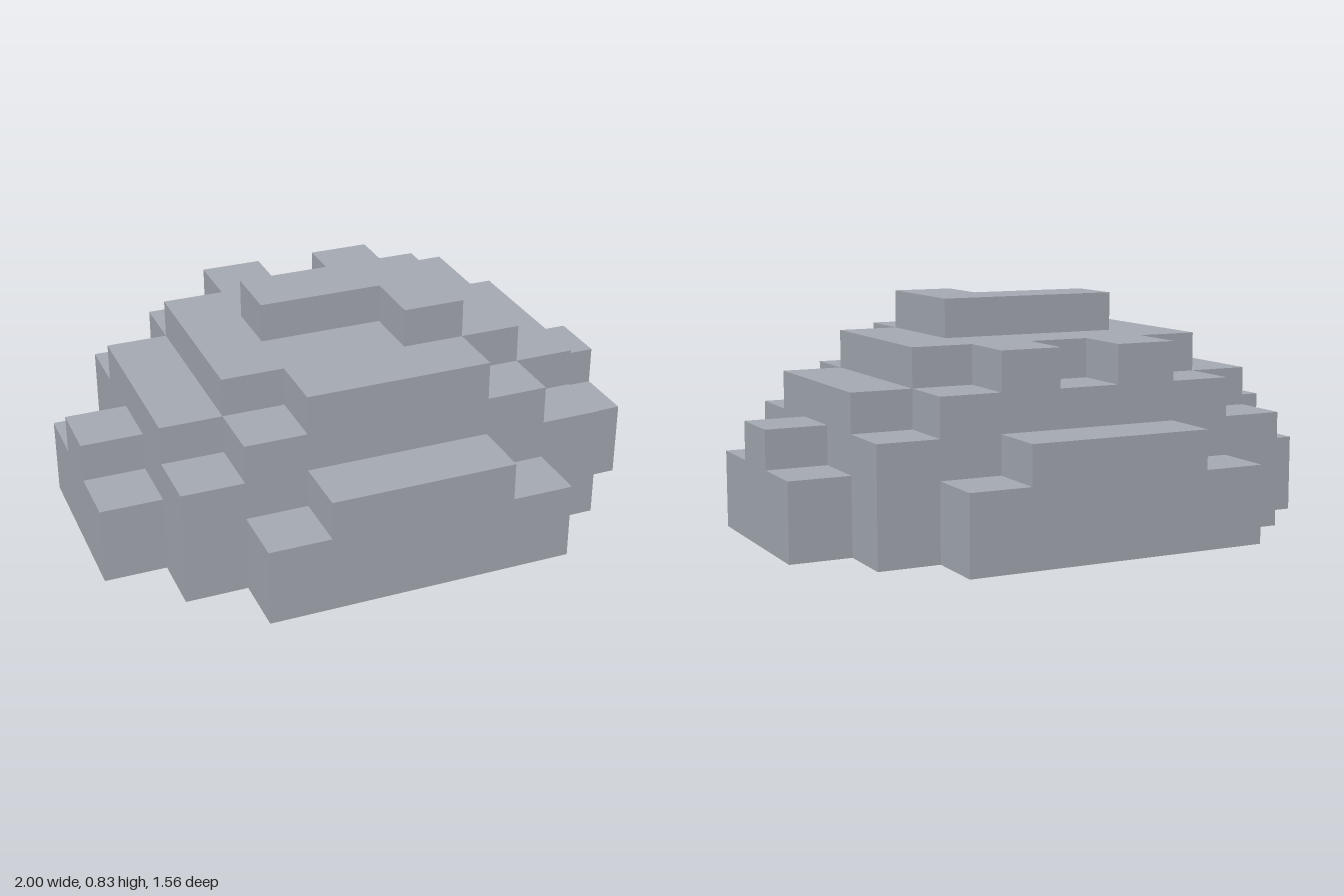
import * as THREE from 'three';

// Height of each square cell in steps; rows run back to front, columns from -x to +x
const HEIGHTS = [
  '002333200',
  '034545430',
  '245555542',
  '346666643'.replace('46666643', '45666543'),
  '245556542',
  '034555430',
  '002333200',
];
const CELL = 2 / 9;
const STEP = 0.139;
const TIER_NAMES = { 2: 'outerCornerTier', 3: 'outerTier', 4: 'lowerTier', 5: 'upperTier', 6: 'topRidge' };

const heightAt = (col, row) => Number(HEIGHTS[row]?.[col] ?? 0);

// Caps and walls of all cells of one height; walls drop to the ground wherever the neighbour is lower
function tierGeometry(level) {
  const positions = [];
  const quad = (a, b, c, d) => positions.push(...a, ...b, ...c, ...a, ...c, ...d);
  const y = level * STEP;
  HEIGHTS.forEach((line, row) => {
    for (let col = 0; col < line.length; col++) {
      if (heightAt(col, row) !== level) continue;
      const x0 = (col - 4.5) * CELL, x1 = x0 + CELL;
      const z0 = (row - 3.5) * CELL, z1 = z0 + CELL;
      quad([x0, y, z1], [x1, y, z1], [x1, y, z0], [x0, y, z0]);
      // Neighbour offset, then the wall's left and right ends seen from outside
      const sides = [
        [0, 1, x0, z1, x1, z1],
        [1, 0, x1, z1, x1, z0],
        [0, -1, x1, z0, x0, z0],
        [-1, 0, x0, z0, x0, z1],
      ];
      for (const [dc, dr, ax, az, bx, bz] of sides) {
        if (heightAt(col + dc, row + dr) < level) {
          quad([ax, 0, az], [bx, 0, bz], [bx, y, bz], [ax, y, az]);
        }
      }
    }
  });
  const geometry = new THREE.BufferGeometry();
  geometry.setAttribute('position', new THREE.Float32BufferAttribute(positions, 3));
  geometry.computeVertexNormals();
  return geometry;
}

export function createModel() {
  const group = new THREE.Group();
  group.name = 'steppedMound';
  const stone = new THREE.MeshStandardMaterial({ color: 0xa6abb3, side: THREE.DoubleSide });
  stone.name = 'stone grey';
  for (const [level, name] of Object.entries(TIER_NAMES)) {
    const tier = new THREE.Mesh(tierGeometry(Number(level)), stone);
    tier.name = name;
    group.add(tier);
  }
  return group;
}
